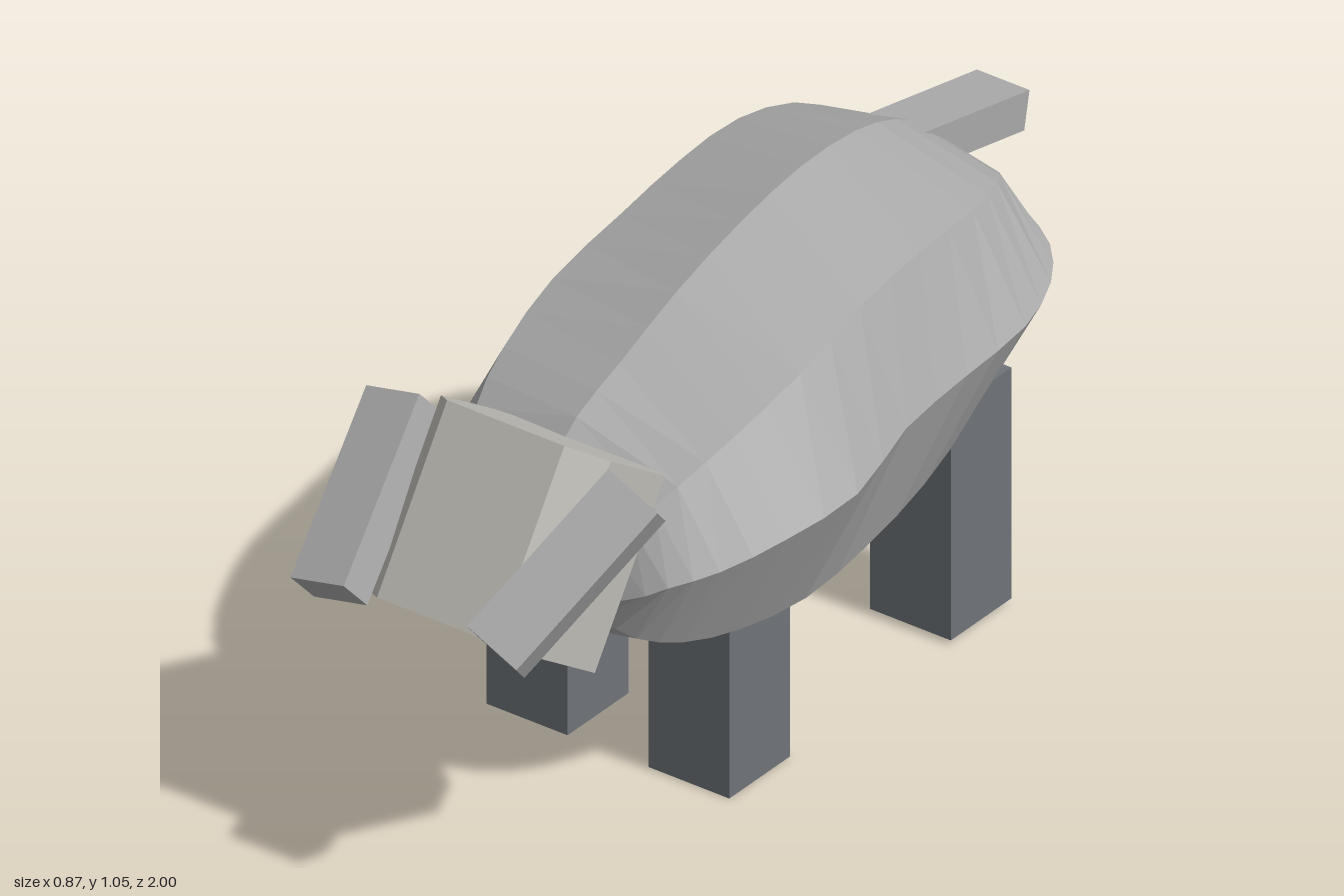
import * as THREE from 'three';

const mat = (color) => new THREE.MeshStandardMaterial({ color, flatShading: true });
const grey = mat(0xa9a9a9);
const pale = mat(0xbcbab4);
const slate = mat(0x6f7479);
const dark = mat(0x6d6d6d);

function add(parent, name, geometry, material) {
  const mesh = new THREE.Mesh(geometry, material);
  mesh.name = name;
  parent.add(mesh);
  return mesh;
}

// Eight-sided body cross-sections from front to back.
// Each row: z, heights (top, upper, middle, lower, bottom), half widths (upper, middle, lower)
const SECTIONS = [
  [0.545, 0.61, 0.59, 0.54, 0.48, 0.45, 0.13, 0.19, 0.14],
  [0.505, 0.75, 0.69, 0.58, 0.435, 0.40, 0.20, 0.275, 0.21],
  [0.42, 0.83, 0.76, 0.60, 0.405, 0.345, 0.25, 0.34, 0.265],
  [0.28, 0.885, 0.82, 0.63, 0.38, 0.285, 0.285, 0.40, 0.30],
  [0.09, 0.96, 0.88, 0.655, 0.367, 0.265, 0.305, 0.433, 0.32],
  [-0.12, 1.018, 0.93, 0.69, 0.385, 0.295, 0.295, 0.395, 0.315],
  [-0.32, 1.05, 0.96, 0.715, 0.425, 0.35, 0.295, 0.395, 0.305],
  [-0.50, 1.045, 0.967, 0.745, 0.49, 0.42, 0.29, 0.405, 0.285],
  [-0.63, 1.008, 0.955, 0.77, 0.555, 0.49, 0.25, 0.37, 0.24],
  [-0.72, 0.95, 0.91, 0.79, 0.635, 0.58, 0.19, 0.30, 0.18],
  [-0.775, 0.865, 0.85, 0.80, 0.72, 0.69, 0.11, 0.19, 0.11],
];

// Lengthwise curves through the sections, closed to a point at each end
function bodyGeometry() {
  const mid = -0.015;
  const lines = Array.from({ length: 8 }, () => [new THREE.Vector3(mid, 0.53, 0.553)]);
  for (const [z, t, u, m, l, b, wu, wm, wl] of SECTIONS) {
    [[mid, t], [mid + wu, u], [wm, m], [mid + wl, l],
      [mid, b], [mid - wl, l], [-wm, m], [mid - wu, u]]
      .forEach(([x, y], j) => lines[j].push(new THREE.Vector3(x, y, z)));
  }
  const steps = 24;
  const rows = lines.map((line) => {
    line.push(new THREE.Vector3(mid, 0.79, -0.802));
    return new THREE.CatmullRomCurve3(line).getPoints(steps);
  });
  const pos = [];
  const idx = [];
  for (let i = 0; i <= steps; i++) {
    for (const row of rows) pos.push(...row[i].toArray());
  }
  for (let i = 0; i < steps; i++) {
    for (let j = 0; j < 8; j++) {
      const a = i * 8 + j;
      const b = i * 8 + (j + 1) % 8;
      if (i > 0) idx.push(a, b, a + 8);
      if (i < steps - 1) idx.push(b, b + 8, a + 8);
    }
  }
  const g = new THREE.BufferGeometry();
  g.setAttribute('position', new THREE.Float32BufferAttribute(pos, 3));
  g.setIndex(idx);
  g.computeVertexNormals();
  return g;
}

// Chamfered rectangle: half width, top, bottom, then x and y chamfers above and below
function octagon(w, top, bottom, tx, ty, bx, by) {
  return [
    [w, bottom + by], [w, top - ty], [w - tx, top], [tx - w, top],
    [-w, top - ty], [-w, bottom + by], [bx - w, bottom], [w - bx, bottom],
  ].map(([x, y]) => new THREE.Vector2(x, y));
}

function buildHead() {
  const head = new THREE.Group();
  head.name = 'head';
  const outer = octagon(0.21, 0.2075, -0.2075, 0.065, 0.08, 0.1, 0.12);
  const inner = octagon(0.168, 0.172, -0.165, 0.045, 0.045, 0.1, 0.09);
  const depth = 0.365;
  const lip = 0.05;

  add(head, 'skull', new THREE.ExtrudeGeometry(new THREE.Shape(outer), { depth, bevelEnabled: false }), pale);
  const rim = new THREE.Shape(outer);
  rim.holes.push(new THREE.Path(inner));
  add(head, 'muzzleRim', new THREE.ExtrudeGeometry(rim, { depth: lip, bevelEnabled: false }), pale)
    .position.z = depth;
  // dark panel at the bottom of the recess
  add(head, 'muzzlePanel', new THREE.ShapeGeometry(new THREE.Shape(inner)), dark).position.z = depth + 0.003;

  head.position.set(0.02, 0.85, 0.528);
  head.rotation.x = 0.98;
  return head;
}

// Flat ear running from one point to another, rolled so its width follows `across`
function addEar(parent, name, from, to, across) {
  const a = new THREE.Vector3(...from);
  const b = new THREE.Vector3(...to);
  const z = b.clone().sub(a);
  const length = z.length();
  z.normalize();
  const y = z.clone().cross(new THREE.Vector3(...across)).normalize();
  const x = y.clone().cross(z);
  const ear = add(parent, name, new THREE.BoxGeometry(0.135, 0.09, length), grey);
  ear.quaternion.setFromRotationMatrix(new THREE.Matrix4().makeBasis(x, y, z));
  ear.position.copy(a).add(b).multiplyScalar(0.5);
}

export function createModel() {
  const model = new THREE.Group();
  model.name = 'animal';

  add(model, 'body', bodyGeometry(), grey);
  model.add(buildHead());

  addEar(model, 'rightEar', [-0.277, 0.882, 0.638], [-0.221, 0.615, 0.962], [1, 0.22, 0]);
  addEar(model, 'leftEar', [0.32, 0.893, 0.668], [0.196, 0.63, 0.968], [0.9, -0.42, 0]);

  // Legs, sunk into the body at the top
  for (const [side, x] of [['left', 0.18], ['right', -0.22]]) {
    for (const [end, z, bottom, top] of [['Front', 0.21, 0, 0.4], ['Rear', -0.52, 0.01, 0.545]]) {
      add(model, `${side}${end}Leg`, new THREE.BoxGeometry(0.2, top - bottom, 0.2), slate)
        .position.set(x, (top + bottom) / 2, z);
    }
  }

  // Tail
  const tail = add(model, 'tail', new THREE.BoxGeometry(0.13, 0.087, 0.44), grey);
  tail.position.set(-0.025, 0.916, -0.775);
  tail.rotation.x = -0.2;

  return model;
}
